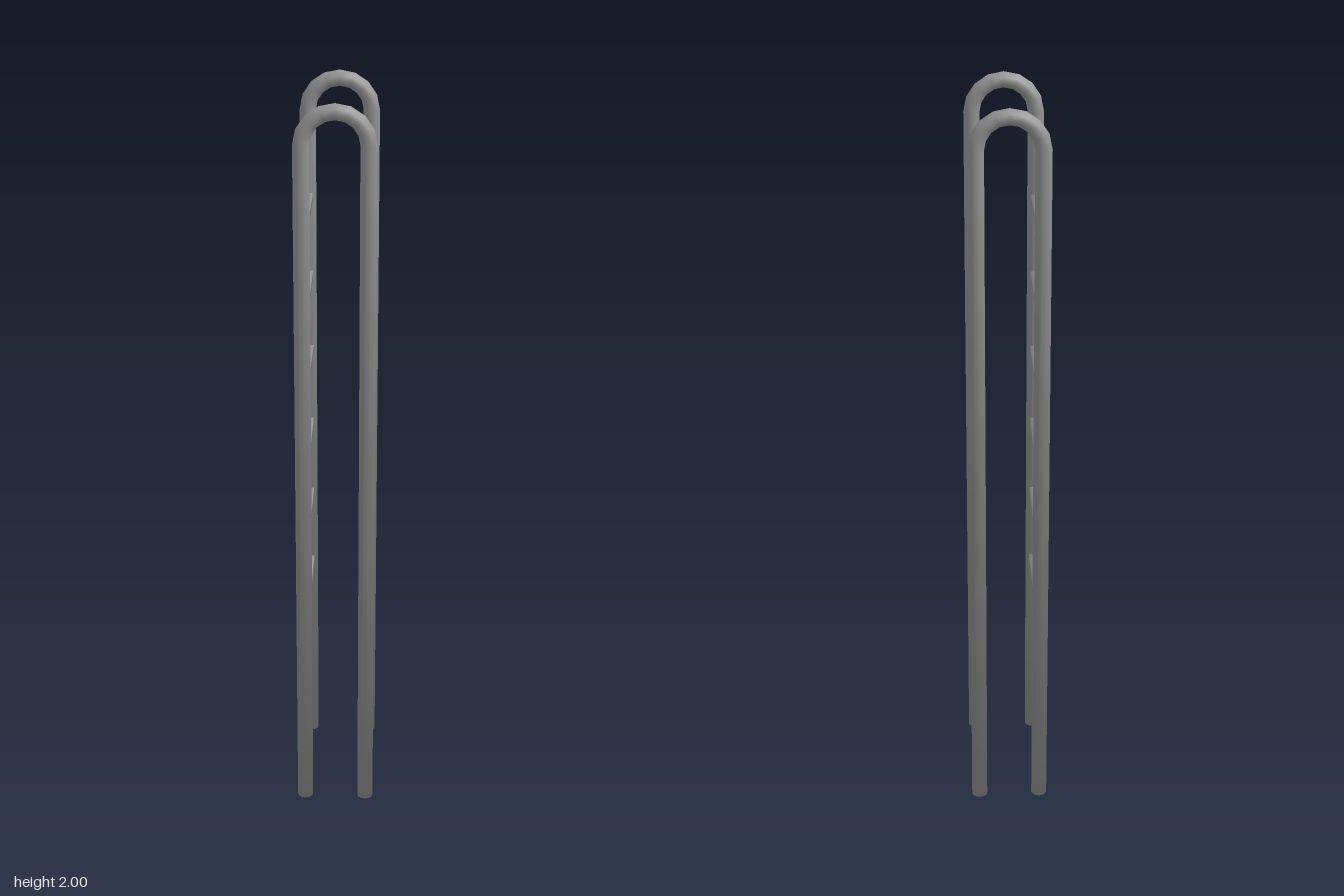
import * as THREE from 'three';

export function createModel() {
  const model = new THREE.Group();
  const material = new THREE.MeshStandardMaterial({ color: 0x949494 });
  const tube = 0.0215;      // rail pipe radius
  const bend = 0.0845;      // half the spacing of a rail's two legs
  const legHeight = 2 - tube - bend;
  const railZ = 0.181;

  const add = (parent, name, geometry, x, y, z) => {
    const mesh = new THREE.Mesh(geometry, material);
    mesh.name = name;
    mesh.position.set(x, y, z);
    parent.add(mesh);
    return mesh;
  };

  // Leg pipe, shaded smoothly around its bottom rim
  const legGeometry = new THREE.CylinderGeometry(tube, tube, legHeight, 12);
  const { position, normal } = legGeometry.attributes;
  const n = new THREE.Vector3();
  for (let i = 0; i < position.count; i++) {
    if (position.getY(i) > 0) continue;
    n.set(position.getX(i) / tube, -1, position.getZ(i) / tube).normalize();
    normal.setXYZ(i, n.x, n.y, n.z);
  }

  // Two hooped handrails: a pair of legs joined by a half-round bend
  const bendGeometry = new THREE.TorusGeometry(bend, tube, 12, 8, Math.PI);
  for (const side of [1, -1]) {
    const rail = new THREE.Group();
    rail.name = side > 0 ? 'frontRail' : 'backRail';
    rail.position.z = side * railZ;
    add(rail, 'rungLeg', legGeometry, -bend, legHeight / 2, 0);
    add(rail, 'freeLeg', legGeometry, bend, legHeight / 2, 0);
    add(rail, 'topBend', bendGeometry, 0, legHeight, 0);
    model.add(rail);
  }

  // Square rungs with softly shaded edges, joining the legs on one side
  const rungGeometry = new THREE.CylinderGeometry(0.0156, 0.0156, railZ * 2, 4, 1, true, Math.PI / 4);
  rungGeometry.rotateX(Math.PI / 2);
  for (let i = 0; i < 6; i++) {
    add(model, `rung${i + 1}`, rungGeometry, -bend + 0.001, 0.575 + i * 0.217, 0);
  }
  return model;
}
